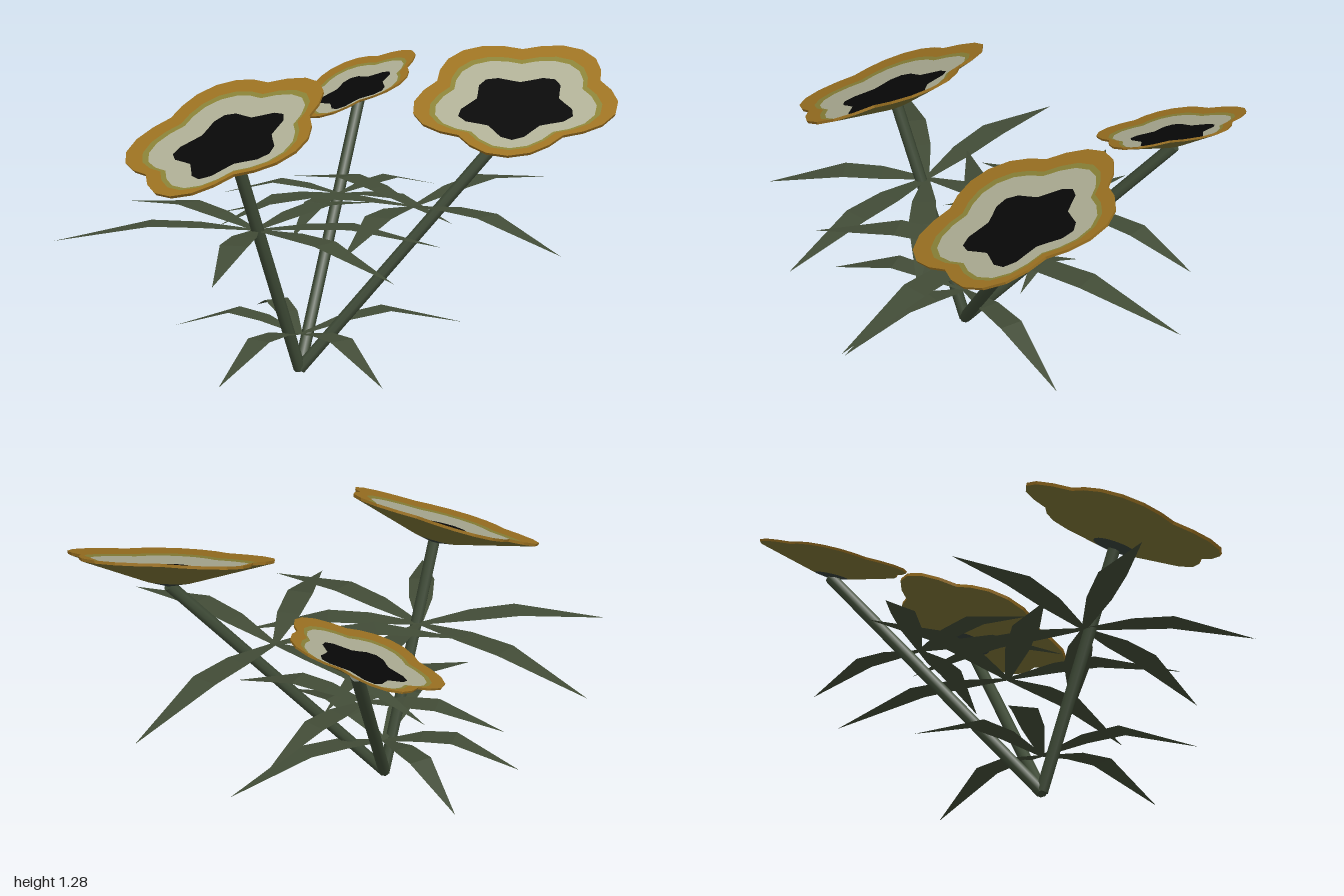
import * as THREE from 'three';

const mat = (name, color, side = THREE.FrontSide) => {
  const m = new THREE.MeshStandardMaterial({ color, side });
  m.name = name;
  return m;
};
const M = {
  stem: mat('stem green', 0x3d4935),
  leaf: mat('leaf green', 0x424c37, THREE.DoubleSide),
  calyx: mat('calyx green', 0x35403a),
  amber: mat('petal amber', 0x9e7322),
  olive: mat('petal olive', 0x8c8438),
  cream: mat('petal cream', 0xb0b096),
  back: mat('petal back olive', 0x7a7134),
  black: mat('flower centre black', 0x080808),
};

function addMesh(parent, name, geometry, material) {
  const mesh = new THREE.Mesh(geometry, material);
  mesh.name = name;
  parent.add(mesh);
  return mesh;
}

// Flat-faced geometry from a list of points, three per triangle
function facets(points) {
  const g = new THREE.BufferGeometry().setFromPoints(points);
  g.computeVertexNormals();
  return g;
}

// Five-lobed closed outline at a depth below the rim; low power gives broad lobes
const SEG = 30;
function outline(radius, lobe, depth, power = 1.2) {
  return Array.from({ length: SEG }, (_, i) => {
    const a = (i / SEG) * Math.PI * 2;
    const wave = 2 * Math.abs(Math.cos(2.5 * a)) ** power - 1;
    const r = radius * (1 + lobe * wave);
    return new THREE.Vector3(r * Math.cos(a), -depth, r * Math.sin(a));
  });
}

// Band of faces joining two outlines; facing 1 or -1 shades it evenly up or down
function band(a, b, facing) {
  const pts = [];
  for (let i = 0; i < SEG; i++) {
    const j = (i + 1) % SEG;
    pts.push(a[i], b[j], b[i], a[i], a[j], b[j]);
  }
  const g = facets(pts);
  if (facing) {
    const n = g.attributes.normal;
    for (let i = 0; i < n.count; i++) n.setXYZ(i, 0, facing, 0);
  }
  return g;
}

// Rings run from the centre outwards, over the rim and back underneath
const START = outline(0, 0, 0.062);
const RINGS = [
  ['flowerCentre', M.black, outline(0.207, 0.16, 0.05, 2), 1],
  ['creamRing', M.cream, outline(0.302, 0.1, 0.025), 1],
  ['oliveRing', M.olive, outline(0.323, 0.1, 0.018), 1],
  ['amberRing', M.amber, outline(0.383, 0.095, 0), 1],
  ['petalEdge', M.amber, outline(0.38, 0.095, 0.012), 0],
  ['petalBack', M.back, outline(0.09, 0, 0.1), -1],
  ['calyx', M.calyx, outline(0, 0, 0.118), -1],
];

function flower({ centre, slope, phase, size }) {
  const g = new THREE.Group();
  g.name = 'flower';
  const head = new THREE.Group();
  head.name = 'flowerHead';
  head.rotation.y = -THREE.MathUtils.degToRad(phase);
  head.scale.setScalar(size);
  let previous = START;
  for (const [name, material, ring, facing] of RINGS) {
    addMesh(head, name, band(previous, ring, facing), material);
    previous = ring;
  }
  g.add(head);
  g.position.set(...centre);
  const normal = new THREE.Vector3(-slope[0], 1, -slope[1]).normalize();
  g.quaternion.setFromUnitVectors(new THREE.Vector3(0, 1, 0), normal);
  return { group: g, stemTop: g.position.clone().addScaledVector(normal, -0.112 * size) };
}

// Cylinder between two points
function stem(from, to) {
  const dir = to.clone().sub(from);
  const geo = new THREE.CylinderGeometry(0.025, 0.025, dir.length(), 8);
  const mesh = new THREE.Mesh(geo, M.stem);
  mesh.name = 'stem';
  mesh.position.copy(from).add(to).multiplyScalar(0.5);
  mesh.quaternion.setFromUnitVectors(new THREE.Vector3(0, 1, 0), dir.normalize());
  return mesh;
}

// Arched lance-shaped blade from a whorl centre to a tip (x, z)
function leaf([cx, cy, cz], [tx, tz], rise, drop, width) {
  const along = new THREE.Vector3(tx - cx, 0, tz - cz);
  const side = new THREE.Vector3(-along.z, 0, along.x).normalize();
  // position along the blade, height, width share
  const sections = [[0, 0, 0.2], [0.28, rise * 0.75, 0.9], [0.52, rise, 1], [1, -drop, 0]];
  const rows = sections.map(([t, h, w]) => {
    const p = new THREE.Vector3(cx, cy + h, cz).addScaledVector(along, t);
    return [1, -1].map((s) => p.clone().addScaledVector(side, (s * w * width) / 2));
  });
  const pts = [];
  for (let i = 0; i < rows.length - 1; i++) {
    const [a, b] = rows[i], [c, d] = rows[i + 1];
    pts.push(a, c, b);
    if (i < rows.length - 2) pts.push(b, c, d);
  }
  return facets(pts);
}

const FLOWERS = [
  { centre: [-0.16, 1.065, 0.585], slope: [0.06, -0.46], phase: 8, size: 1 },
  { centre: [0.47, 1.135, -0.43], slope: [-0.18, -0.37], phase: -13, size: 1 },
  { centre: [-0.493, 1.05, -0.55], slope: [0.2, -0.37], phase: 8, size: 0.745 },
];

const WHORLS = [
  { name: 'frontLeaves', centre: [-0.17, 0.64, 0.41], rise: 0.03, drop: 0.04, width: 0.11,
    tips: [[-1, 0.3], [0.63, 0.53], [-0.765, 0.94], [0.155, 0.99], [-0.19, -0.355], [0.46, 0.03]] },
  { name: 'rightLeaves', centre: [0.19, 0.69, -0.13], rise: 0.045, drop: 0.03, width: 0.11,
    tips: [[1, 0.005], [0.23, -1], [0.41, 0.56], [-0.61, -0.3], [-0.42, 0.37]] },
  { name: 'rearLeaves', centre: [-0.31, 0.64, -0.25], rise: 0.03, drop: 0.05, width: 0.095,
    tips: [[-0.835, -0.08], [-0.23, -0.81], [-0.46, 0.32], [-0.1, 0.28], [0.25, -0.31]] },
  { name: 'baseLeaves', centre: [-0.13, 0.165, 0.2], rise: 0.065, drop: 0.04, width: 0.1,
    tips: [[-0.63, -0.07], [0.47, 0.4], [-0.01, 0.8], [0.2, -0.455], [-0.69, 0.36]] },
];

export function createModel() {
  const model = new THREE.Group();
  model.name = 'floweringPlant';

  // Flowers, each on a stem rising from the shared root
  FLOWERS.forEach((spec) => {
    const { group, stemTop } = flower(spec);
    const root = new THREE.Vector3(-0.135, 0.015, 0.2);
    model.add(group, stem(root, stemTop));
  });

  // Leaf whorls
  for (const { name, centre, rise, drop, width, tips } of WHORLS) {
    const whorl = new THREE.Group();
    whorl.name = name;
    tips.forEach((tip) => addMesh(whorl, 'leaf', leaf(centre, tip, rise, drop, width), M.leaf));
    model.add(whorl);
  }
  return model;
}
